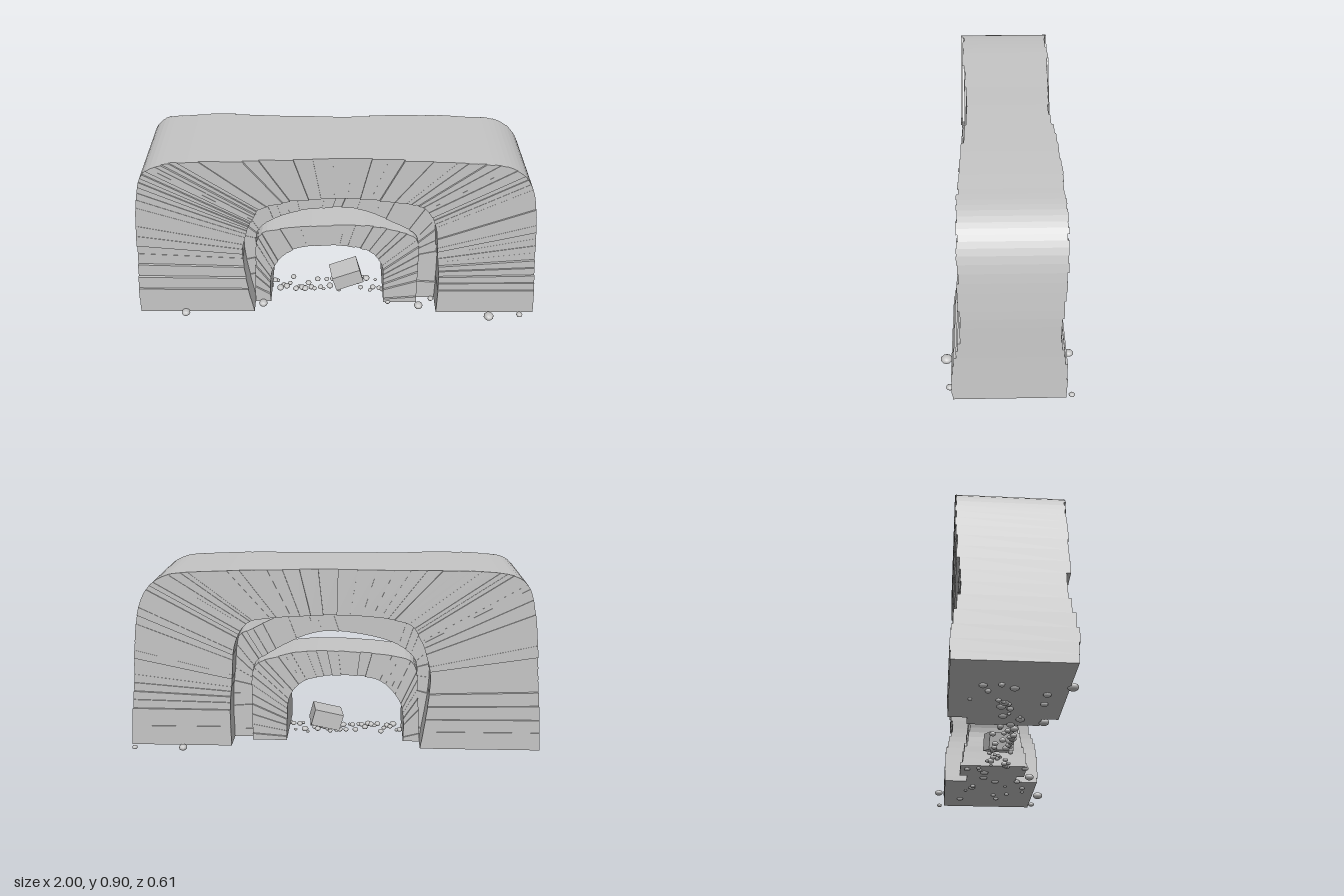
import * as THREE from 'three';
import { mergeGeometries } from 'three/addons/utils/BufferGeometryUtils.js';

const stone = new THREE.MeshStandardMaterial({ color: 0xc5c5c5 });
stone.name = 'grey stone';

// Small seeded random source
function makeRandom(seed) {
  return () => {
    seed = (seed * 16807) % 2147483647;
    return seed / 2147483647;
  };
}

// One stone layer between two stations, each with an outer and an inner point
function layer(a, b, front, back) {
  const g = new THREE.BoxGeometry(1, 1, 1);
  const p = g.attributes.position;
  for (let i = 0; i < p.count; i++) {
    const station = p.getX(i) < 0 ? a : b;
    const c = p.getY(i) > 0 ? station.outer : station.inner;
    p.setXYZ(i, c.x, c.y, p.getZ(i) > 0 ? front : back);
  }
  g.computeVertexNormals();
  return g;
}

// Layers along two matching curves, from the left foot to the right foot;
// depth(x, y) gives the front and back of each layer
function arch(name, outerPoints, innerPoints, count, depth, seed) {
  const curve = list => new THREE.SplineCurve(list.map(([x, y]) => new THREE.Vector2(x, y)));
  const outer = curve(outerPoints), inner = curve(innerPoints);
  const at = t => ({ outer: outer.getPoint(t), inner: inner.getPoint(t) });
  const rnd = makeRandom(seed);
  const parts = [];
  for (let i = 0; i < count; i++) {
    const a = at(i / count), b = at((i + 1) / count);
    const [front, back] = depth((a.outer.x + b.outer.x) / 2, (a.outer.y + b.outer.y) / 2);
    parts.push(layer(a, b, front + (rnd() - 0.5) * 0.01, back + (rnd() - 0.5) * 0.01));
  }
  const mesh = new THREE.Mesh(mergeGeometries(parts), stone);
  mesh.name = name;
  return mesh;
}

// The big arch is thinnest over the middle, flares at the feet and bulges at one shoulder
function outerDepth(x, y) {
  const side = Math.min(1, Math.abs(x) / 0.5);
  const foot = 1 - THREE.MathUtils.smoothstep(y, 0.14, 0.36);
  const high = THREE.MathUtils.smoothstep(y, 0.4, 0.7);
  const bulge = x < -0.8 && y > 0.43 ? 0.013 : 0;
  return [
    0.167 + 0.035 * side + (x > 0 ? 0.042 : 0.032) * foot + bulge,
    -0.213 - (0.01 + 0.017 * high) * side - 0.032 * foot - bulge * 0.6,
  ];
}
const middleDepth = (x, y) => [0.125 - 0.05 * y, -0.145 + 0.05 * y];
const innerDepth = (x, y) => [0.165 - 0.13 * y, -0.18 + 0.13 * y];

export function createModel() {
  const model = new THREE.Group();
  model.name = 'stoneArch';

  model.add(arch('outerArch',
    [[-1, 0.018], [-0.975, 0.37], [-0.935, 0.7], [-0.87, 0.86], [-0.68, 0.9], [-0.28, 0.9],
      [0.24, 0.9], [0.6, 0.89], [0.8, 0.865], [0.91, 0.75], [0.96, 0.5], [0.98, 0.25], [1, 0.018]],
    [[-0.42, 0.018], [-0.462, 0.34], [-0.435, 0.5], [-0.405, 0.575], [-0.35, 0.645], [-0.18, 0.676],
      [0.16, 0.676], [0.35, 0.662], [0.425, 0.63], [0.475, 0.53], [0.492, 0.38], [0.505, 0.24], [0.505, 0.018]],
    72, outerDepth, 11));

  model.add(arch('middleArch',
    [[-0.44, 0.018], [-0.49, 0.34], [-0.43, 0.62], [-0.27, 0.695], [0.02, 0.695],
      [0.18, 0.68], [0.4, 0.582], [0.49, 0.51], [0.515, 0.25], [0.515, 0.018]],
    [[-0.405, 0.018], [-0.405, 0.35], [-0.37, 0.46], [-0.23, 0.535], [-0.02, 0.57],
      [0.14, 0.55], [0.33, 0.453], [0.4, 0.39], [0.41, 0.25], [0.41, 0.018]],
    36, middleDepth, 23));

  model.add(arch('innerArch',
    [[-0.42, 0.018], [-0.41, 0.24], [-0.39, 0.405], [-0.28, 0.45], [-0.07, 0.468],
      [0.14, 0.468], [0.28, 0.44], [0.4, 0.385], [0.41, 0.2], [0.41, 0.018]],
    [[-0.34, 0.018], [-0.34, 0.13], [-0.315, 0.225], [-0.22, 0.32], [-0.07, 0.345],
      [0.09, 0.333], [0.18, 0.295], [0.23, 0.22], [0.238, 0.12], [0.24, 0.018]],
    36, innerDepth, 37));

  // Fallen block lying in the passage
  const block = new THREE.Mesh(new THREE.BoxGeometry(0.15, 0.085, 0.12), stone);
  block.name = 'fallenBlock';
  block.position.set(0.05, 0.077, 0);
  block.rotation.set(0, 0.15, 0.27);
  model.add(block);

  // Pebbles as [x, z, radius]: larger ones by the feet, the rest strewn over the ground
  const pebbles = [
    [0.77, 0.275, 0.025], [0.93, 0.255, 0.016], [-0.77, 0.24, 0.022], [0.74, -0.285, 0.02],
    [0.98, -0.28, 0.013], [-0.38, 0.17, 0.022], [0.42, 0.19, 0.022],
  ];
  const rnd = makeRandom(71);
  for (let i = 0; i < 36; i++) {
    const inPassage = -0.33 + 0.57 * i / 35;
    const underFoot = i % 2 ? 0.25 + rnd() * 0.6 : -0.35 - rnd() * 0.45;
    pebbles.push([inPassage, (rnd() - 0.5) * 0.12, 0.008 + rnd() * 0.01]);
    pebbles.push([underFoot, (rnd() - 0.5) * 0.38, 0.008 + rnd() * 0.012]);
  }
  const ball = new THREE.SphereGeometry(1, 10, 7);
  const rubble = new THREE.Group();
  rubble.name = 'rubble';
  for (const [x, z, r] of pebbles) {
    const pebble = new THREE.Mesh(ball, stone);
    pebble.name = 'pebble';
    pebble.position.set(x, 0.004 + r * 0.75, z);
    pebble.scale.set(r, r * 0.75, r * 1.1);
    rubble.add(pebble);
  }
  model.add(rubble);
  return model;
}
